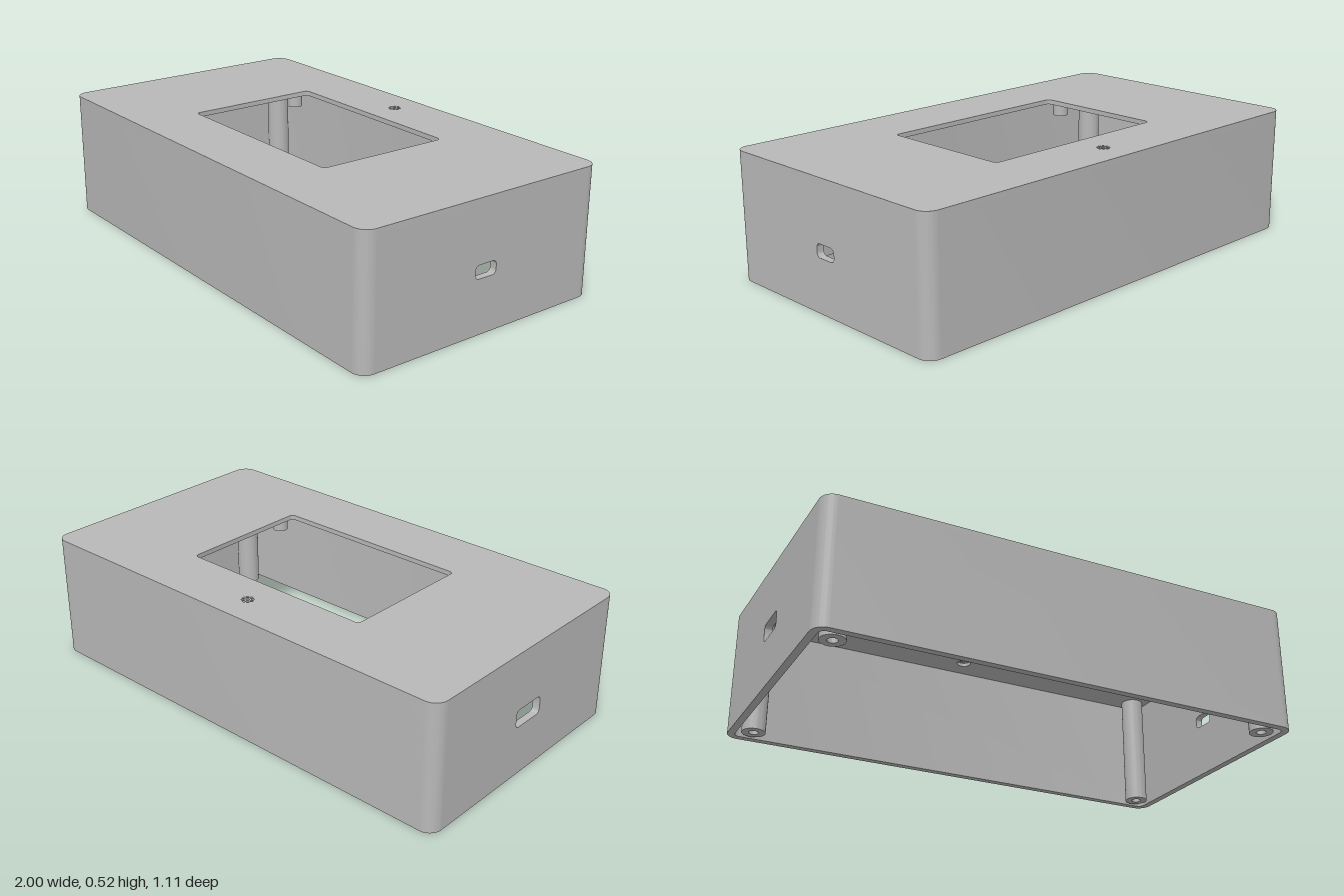
import * as THREE from 'three';
import { toCreasedNormals } from 'three/addons/utils/BufferGeometryUtils.js';

const W = 1, D = 0.555, H = 0.524;      // half width, half depth, height
const R = 0.055, T = 0.03, SKIN = 0.02; // corner radius, wall, top skin
const HALF = Math.PI / 2;

// Rounded rectangle centred on (cx, cy) with half sizes a, b
function roundedRect(a, b, r, cx = 0, cy = 0, Kind = THREE.Shape) {
  const s = new Kind();
  s.absarc(cx + a - r, cy + b - r, r, 0, HALF);
  s.absarc(cx - a + r, cy + b - r, r, HALF, 2 * HALF);
  s.absarc(cx - a + r, cy - b + r, r, 2 * HALF, 3 * HALF);
  s.absarc(cx + a - r, cy - b + r, r, 3 * HALF, 4 * HALF);
  s.closePath();
  return s;
}

function circle(r, cx = 0, cy = 0, Kind = THREE.Path) {
  const s = new Kind();
  s.absarc(cx, cy, r, 0, Math.PI * 2);
  return s;
}

function extrude(shape, depth, curveSegments = 12) {
  return new THREE.ExtrudeGeometry(shape, { depth, curveSegments, bevelEnabled: false });
}

export function createModel() {
  const group = new THREE.Group();
  const plastic = new THREE.MeshStandardMaterial({ color: 0xb8b8b8 });
  plastic.name = 'grey plastic';

  const add = (name, geometry) => {
    const mesh = new THREE.Mesh(toCreasedNormals(geometry, 0.5), plastic);
    mesh.name = name;
    group.add(mesh);
    return mesh;
  };
  // Plan shape (x, -z) raised from y to y + height
  const addSlab = (name, shape, y, height) =>
    add(name, extrude(shape, height).rotateX(-HALF).translate(0, y, 0));

  // Front and back walls, each wrapping round two corners
  const wall = new THREE.Shape();
  const cx = W - R, cy = D - R;
  wall.absarc(cx, cy, R, 0, HALF);
  wall.absarc(-cx, cy, R, HALF, Math.PI);
  wall.absarc(-cx, cy, R - T, Math.PI, HALF, true);
  wall.absarc(cx, cy, R - T, HALF, 0, true);
  wall.closePath();
  addSlab('backWall', wall, 0, H - SKIN);
  addSlab('frontWall', wall, 0, H - SKIN).rotation.y = Math.PI;

  // Side walls with cable slots
  const addSide = (name, x, slotHalfWidth, slotHalfHeight) => {
    const s = new THREE.Shape();
    s.moveTo(-cy, 0).lineTo(cy, 0).lineTo(cy, H - SKIN).lineTo(-cy, H - SKIN).closePath();
    s.holes.push(roundedRect(slotHalfWidth, slotHalfHeight, 0.018, 0, 0.246, THREE.Path));
    add(name, extrude(s, T).rotateY(HALF).translate(x, 0, 0));
  };
  addSide('leftWall', W - T, 0.05, 0.027);
  addSide('rightWall', -W, 0.075, 0.037);

  // Top skin with display window and buzzer grille
  const top = roundedRect(W, D, R);
  top.holes.push(roundedRect(0.435, 0.286, 0.018, 0, 0.004, THREE.Path));
  top.holes.push(circle(0.007, 0, 0.425));
  for (let i = 0; i < 8; i++) {
    const a = (i * Math.PI) / 4;
    top.holes.push(circle(0.006, 0.02 * Math.cos(a), 0.425 + 0.02 * Math.sin(a)));
  }
  addSlab('topPanel', top, H - SKIN, SKIN);

  // Inner ceiling layer with a recess for the display
  const ceiling = roundedRect(W - T, D - T, R - T);
  ceiling.holes.push(roundedRect(0.53, 0.34, 0.01, 0, 0.004, THREE.Path));
  ceiling.holes.push(circle(0.03, 0, 0.425));
  addSlab('ceilingLayer', ceiling, H - SKIN - 0.015, 0.015);

  // Hollow screw posts in the corners and short standoffs by the window
  const addPost = (name, x, z, r, bore, y) => {
    const s = circle(r, 0, 0, THREE.Shape);
    s.holes.push(circle(bore));
    const g = extrude(s, H - SKIN - y, 20).rotateX(-HALF).translate(x, y, z);
    add(name, g);
  };
  for (const sx of [-1, 1]) {
    for (const sz of [-1, 1]) {
      addPost('cornerPost', sx * 0.905, sz * 0.464, 0.048, 0.02, 0.002);
      addPost('displayStandoff', sx * 0.49, sz * 0.262, 0.032, 0.013, 0.45);
    }
  }
  return group;
}
